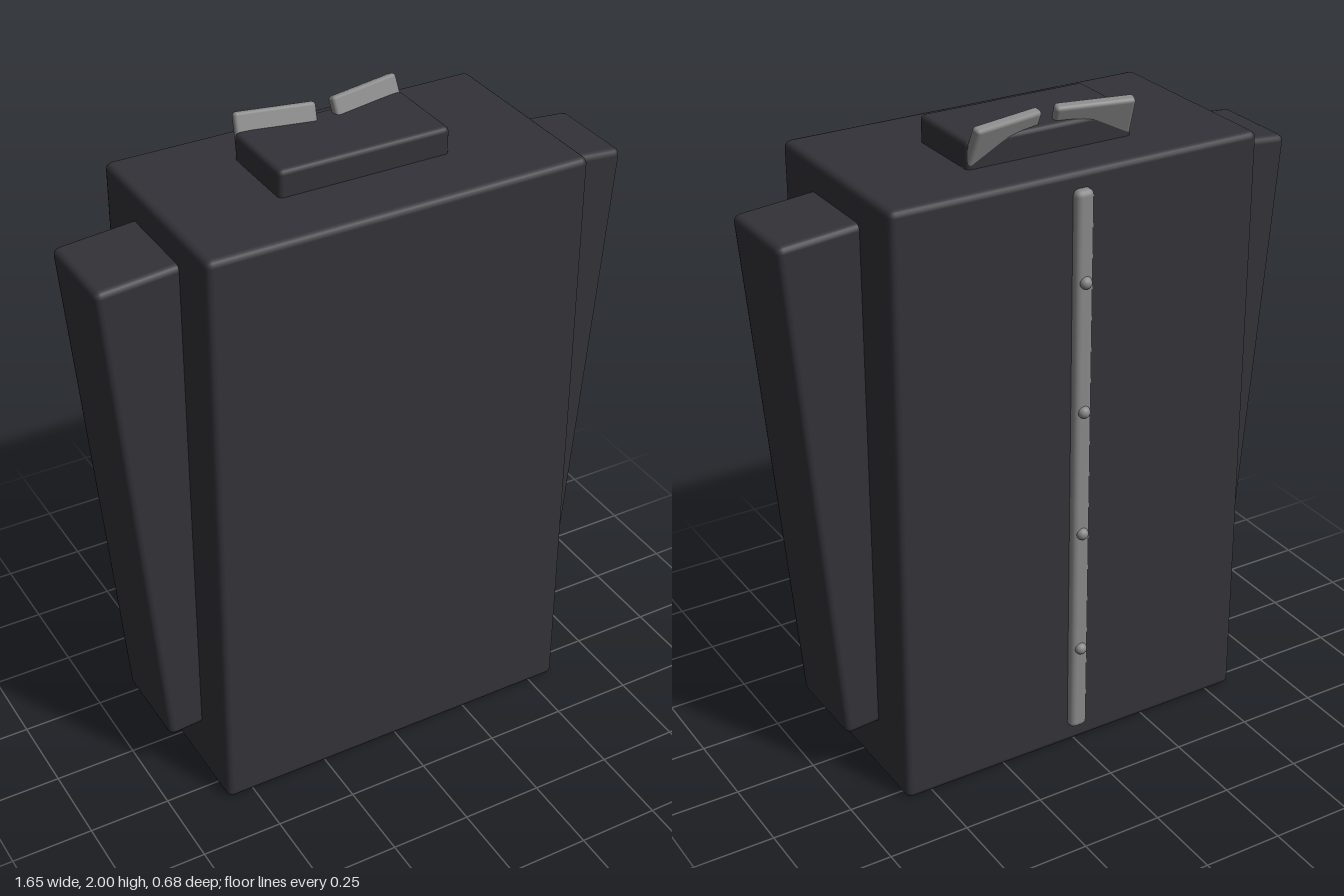
import * as THREE from 'three';
import { RoundedBoxGeometry } from 'three/addons/geometries/RoundedBoxGeometry.js';

const cloth = new THREE.MeshStandardMaterial({ color: 0x333238 });
const metal = new THREE.MeshStandardMaterial({ color: 0x888888 });

// Box with softened edges, placed by its centre
function roundedBox(name, size, position, radius, material) {
  const mesh = new THREE.Mesh(new RoundedBoxGeometry(...size, 2, radius), material);
  mesh.name = name;
  mesh.position.set(...position);
  return mesh;
}

export function createModel() {
  const model = new THREE.Group();
  model.name = 'jacket';

  // Torso block and neck block
  model.add(roundedBox('torso', [1.17, 1.87, 0.635], [0, 0.935, 0.018], 0.02, cloth));
  model.add(roundedBox('neck', [0.53, 0.16, 0.265], [0, 1.87, -0.008], 0.015, cloth));

  for (const side of [1, -1]) {
    const label = side > 0 ? 'left' : 'right';

    // Sleeve, spreading outwards towards the top
    const sleeve = roundedBox(label + 'Sleeve', [0.3, 1.6, 0.288], [side * 0.608, 0.973, 0.021], 0.02, cloth);
    sleeve.rotation.z = -side * 0.085;
    model.add(sleeve);

    // Collar flap, leaning back and turned outwards
    const flap = roundedBox(label + 'CollarFlap', [0.235, 0.16, 0.032], [side * 0.145, 1.92, -0.116], 0.011, metal);
    flap.rotation.set(-0.38, side * 0.21, 0, 'YXZ');
    model.add(flap);
  }

  // Fastening strip with studs down the back
  model.add(roundedBox('strip', [0.058, 1.76, 0.06], [0, 0.94, -0.295], 0.018, metal));
  const studGeometry = new THREE.SphereGeometry(0.019, 16, 12);
  for (let i = 0; i < 4; i++) {
    const stud = new THREE.Mesh(studGeometry, metal);
    stud.name = 'stud' + (i + 1);
    stud.position.set(0, 0.35 + i * 0.4, -0.323);
    model.add(stud);
  }

  return model;
}
